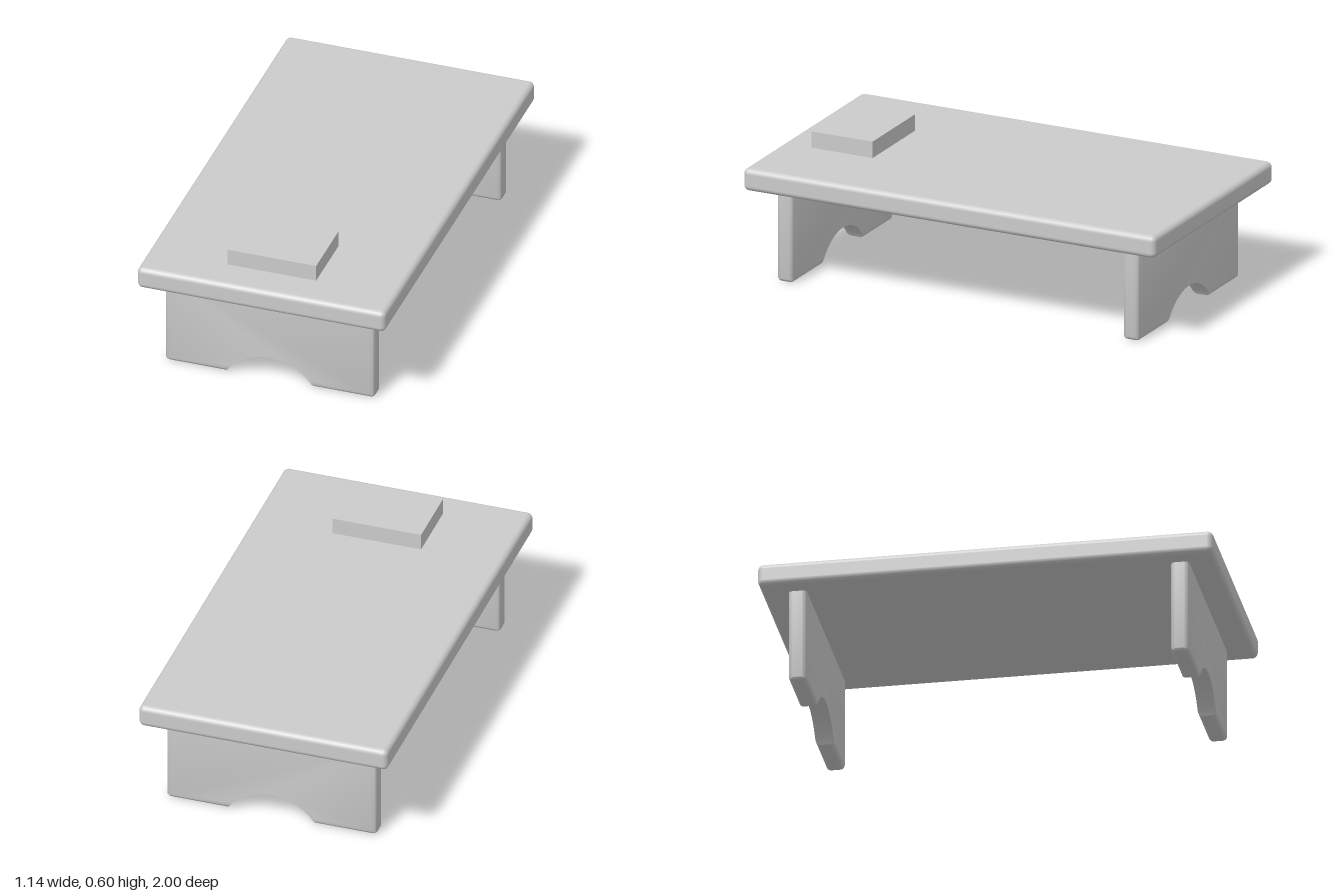
import * as THREE from 'three';
import { toCreasedNormals } from 'three/addons/utils/BufferGeometryUtils.js';
import { RoundedBoxGeometry } from 'three/addons/geometries/RoundedBoxGeometry.js';

const material = new THREE.MeshStandardMaterial({ color: 0xcccccc });

// Leg panel dimensions
const HALF_WIDTH = 0.48, TOP = 0.44, HALF_DEPTH = 0.04, ROUND = 0.02;
// Circular cut-out under the leg: 0.4 wide at the floor, 0.11 high
const ARCH_RADIUS = 0.237, ARCH_Y = -0.127;

// Counter-clockwise leg outline, sides and bottom inset, arch kept sharp
function legOutline(inset) {
  const points = [];
  const arc = (cx, cy, r, from, to, steps) => {
    for (let i = 0; i <= steps; i++) {
      const a = from + (to - from) * i / steps;
      points.push(new THREE.Vector2(cx + r * Math.cos(a), cy + r * Math.sin(a)));
    }
  };
  const cx = HALF_WIDTH - ROUND, r = ROUND - inset;
  const end = Math.asin((inset - ARCH_Y) / ARCH_RADIUS);
  arc(-cx, ROUND, r, Math.PI, Math.PI * 1.5, 6);
  arc(0, ARCH_Y, ARCH_RADIUS, Math.PI - end, end, 32);
  arc(cx, ROUND, r, -Math.PI / 2, 0, 6);
  points.push(new THREE.Vector2(HALF_WIDTH - inset, TOP), new THREE.Vector2(inset - HALF_WIDTH, TOP));
  return points;
}

// Loft the outline through the depth with rounded front and back edges
function legGeometry() {
  const layers = [], steps = 6;
  for (let i = 0; i <= steps; i++) {
    const a = (i / steps) * Math.PI / 2;
    layers.push({ z: -HALF_DEPTH + ROUND * (1 - Math.cos(a)), inset: ROUND * (1 - Math.sin(a)) });
  }
  for (let i = steps; i >= 0; i--) layers.push({ z: -layers[i].z, inset: layers[i].inset });

  const positions = [], index = [];
  const n = legOutline(0).length;
  for (const { z, inset } of layers) {
    for (const p of legOutline(inset)) positions.push(p.x, p.y, z);
  }
  for (let k = 0; k < layers.length - 1; k++) {
    for (let i = 0; i < n; i++) {
      const a = k * n + i, b = k * n + (i + 1) % n;
      index.push(a, b, b + n, a, b + n, a + n);
    }
  }
  // Flat front and back faces
  const last = (layers.length - 1) * n;
  for (const [a, b, c] of THREE.ShapeUtils.triangulateShape(legOutline(ROUND), [])) {
    index.push(last + a, last + b, last + c, a, c, b);
  }
  const geometry = new THREE.BufferGeometry();
  geometry.setAttribute('position', new THREE.Float32BufferAttribute(positions, 3));
  geometry.setIndex(index);
  return toCreasedNormals(geometry, Math.PI / 5);
}

export function createModel() {
  const group = new THREE.Group();
  group.name = 'lowTable';
  const add = (name, geometry, x, y, z) => {
    const mesh = new THREE.Mesh(geometry, material);
    mesh.name = name;
    mesh.position.set(x, y, z);
    group.add(mesh);
  };

  // Table top with softly rounded edges
  add('tableTop', new RoundedBoxGeometry(1.136, 0.102, 2, 5, 0.025), 0, 0.473, 0);

  // Arched panel legs at each end
  const leg = legGeometry();
  add('frontLeg', leg, 0, 0, 0.84);
  add('backLeg', leg, 0, 0, -0.84);

  // Sharp-edged block resting near the front edge
  add('block', new THREE.BoxGeometry(0.405, 0.075, 0.296), 0, 0.567, 0.702);

  return group;
}
